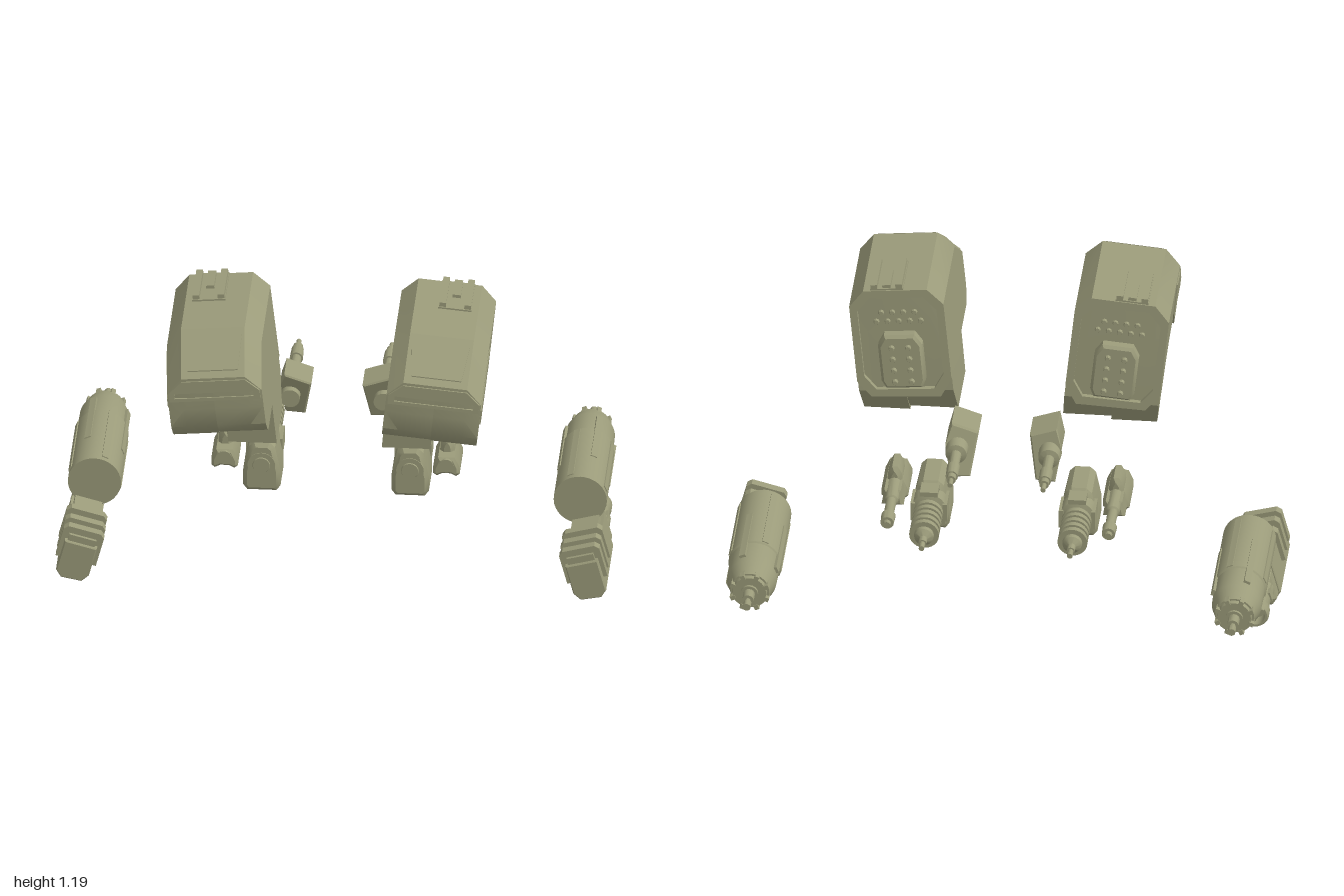
import * as THREE from 'three';
import { toCreasedNormals } from 'three/addons/utils/BufferGeometryUtils.js';

const olive = new THREE.MeshStandardMaterial({ color: 0x9b9b7a });
olive.name = 'olive';

// Outline in (x, y) extruded from z0 to z1, with chamfered ends
function prism(pts, z0, z1, bevel = 0, hole = null) {
  const shape = new THREE.Shape(pts.map(p => new THREE.Vector2(p[0], p[1])));
  if (hole) shape.holes.push(new THREE.Path(hole.map(p => new THREE.Vector2(p[0], p[1]))));
  return new THREE.ExtrudeGeometry(shape, {
    depth: z1 - z0 - 2 * bevel, bevelEnabled: bevel > 0, bevelThickness: bevel,
    bevelSize: bevel, bevelOffset: -bevel, bevelSegments: 1,
  }).translate(0, 0, z0 + bevel);
}

// Outline in (z, y) extruded along x
const sidePlate = (pts, x0, x1) => prism(pts.map(p => [-p[0], p[1]]), x0, x1).rotateY(Math.PI / 2);

// Turned part along z from [z, radius] pairs, rearmost first
const turned = (x, y, pts, n = 24) =>
  new THREE.LatheGeometry(pts.map(p => new THREE.Vector2(p[1], p[0])), n).rotateX(Math.PI / 2).translate(x, y, 0);

const box = (x0, x1, y0, y1, z0, z1) =>
  new THREE.BoxGeometry(x1 - x0, y1 - y0, z1 - z0).translate((x0 + x1) / 2, (y0 + y1) / 2, (z0 + z1) / 2);

// Closed solid through (z, y) outlines placed at successive x stations
function loft(stations) {
  const pos = [];
  const put = (s, i) => pos.push(s.x, s.pts[i][1], s.pts[i][0]);
  const n = stations[0].pts.length;
  for (let k = 0; k + 1 < stations.length; k++) {
    const a = stations[k], b = stations[k + 1];
    for (let i = 0; i < n; i++) {
      const j = (i + 1) % n;
      put(a, i); put(a, j); put(b, j);
      put(a, i); put(b, j); put(b, i);
    }
  }
  [stations[0], stations[stations.length - 1]].forEach((s, end) => {
    const flat = s.pts.map(p => new THREE.Vector2(-p[0], p[1]));
    for (const f of THREE.ShapeUtils.triangulateShape(flat, [])) (end ? f : [f[2], f[1], f[0]]).forEach(i => put(s, i));
  });
  const g = new THREE.BufferGeometry();
  g.setAttribute('position', new THREE.Float32BufferAttribute(pos, 3));
  return g;
}

function mapVertices(g, rule) {
  const p = g.attributes.position, v = new THREE.Vector3();
  for (let i = 0; i < p.count; i++) {
    rule(v.fromBufferAttribute(p, i));
    p.setXYZ(i, v.x, v.y, v.z);
  }
  return g;
}

// Lean of the housing: top outwards, outer side lower, bottom edge level
const lean = g => mapVertices(g, v => {
  const k = THREE.MathUtils.clamp((v.y - 0.66) / 0.14, 0, 1);
  const x = v.x;
  v.x += 0.105 * (v.y - 0.9);
  v.y -= 0.09 * (x - 0.385) * k;
});
// Lay a part on the sloping rear face
const onRear = g => mapVertices(g, v => { v.z += 0.052 + (v.y - 0.76) * 0.07; });

function housing(add) {
  const profile = (bottom, d) => [...bottom, [0.07, 0.76], [0.085, 1.0], [0.098, 1.17 - d], [0.48, 1.17 - d],
    [0.643 - d * 0.1, 1.055 - d], [0.643 - d * 0.1, 0.93], [0.633, 0.855], [0.61, 0.82]];
  const inner = [[0.585, 0.803], [0.407, 0.803], [0.395, 0.655], [0.14, 0.655]];
  const arch = [];
  for (let i = 0; i <= 20; i++) {
    const a = (Math.PI - 0.458) * (1 - i / 20);
    arch.push([0.393 - 0.215 * Math.cos(a), 0.705 + 0.215 * Math.sin(a)]);
  }
  arch.push([0.178, 0.64], [0.14, 0.64]);
  const station = (x, bottom, d) => ({ x, pts: profile(bottom, d) });
  add('housingInnerShell', lean(loft([station(0.215, inner, 0.06), station(0.27, inner, 0), station(0.39, inner, 0)])));
  add('housingArchShell', lean(loft([station(0.39, arch, 0), station(0.5, arch, 0), station(0.556, arch, 0.06)])));

  // Outer side panel
  add('sidePanel', lean(sidePlate([[0.63, 0.935], [0.4, 0.935], [0.385, 0.96], [0.385, 1.085], [0.49, 1.085], [0.63, 0.97]], 0.554, 0.56)));

  // Front brow and slit
  add('browPlate', lean(prism([[0.222, 0.965], [0.55, 0.965], [0.55, 1.0], [0.5, 1.045], [0.27, 1.045], [0.222, 1.0]], 0.64, 0.648, 0,
    [[0.245, 0.978], [0.53, 0.978], [0.53, 0.998], [0.245, 0.998]])));
  // Hatch on the sloping hood
  add('hoodHatch', lean(mapVertices(prism([[0.28, 0.505], [0.49, 0.505], [0.475, 0.62], [0.295, 0.62]], 0, 0.008),
    v => { const z = v.y; v.y = 1.17 - (z - 0.48) * 0.706 + 0.004 - v.z; v.z = z; })
    .scale(1, 1, 1)));

  // Roof rails
  add('roofPlate', lean(box(0.355, 0.475, 1.165, 1.176, 0.085, 0.28)));
  for (const x of [0.37, 0.46]) add('roofRail', lean(box(x - 0.012, x + 0.012, 1.17, 1.192, 0.085, 0.275)));
  add('roofRailCentre', lean(box(0.4, 0.43, 1.17, 1.188, 0.09, 0.2)));

  // Rear frame, vent and studs
  const ring = [[0.26, 0.745], [0.51, 0.745], [0.556, 0.81], [0.556, 1.11], [0.5, 1.17], [0.27, 1.17], [0.215, 1.11], [0.215, 0.81]];
  const hole = ring.map(([x, y]) => [0.385 + (x - 0.385) * 0.84, 0.96 + (y - 0.96) * 0.86]);
  add('rearFrame', lean(onRear(prism(ring, 0, 0.025, 0, hole))));
  add('rearVent', lean(onRear(prism([[0.32, 0.79], [0.45, 0.79], [0.465, 0.82], [0.465, 0.96], [0.44, 1.0], [0.33, 1.0], [0.305, 0.96], [0.305, 0.82]],
    -0.024, 0.025, 0.01))));
  const stud = (x, y, z) => add('rearStud', lean(onRear(turned(x, y, [[z, 0], [z, 0.008], [z + 0.005, 0.011], [0.02, 0.011]], 8))));
  for (let r = 0; r < 4; r++) for (const x of [0.355, 0.415]) stud(x, 0.82 + r * 0.045, -0.036);
  for (let c = 0; c < 5; c++) { stud(0.305 + c * 0.04, 1.04, 0.008); if (c < 4) stud(0.325 + c * 0.04, 1.075, 0.008); }
}

function bracketGun(add) {
  // Skewed bracket with a slim barrel behind it
  add('gunBracket', mapVertices(prism([[0.118, 0.545], [0.19, 0.545], [0.235, 0.66], [0.19, 0.733], [0.092, 0.7]].map(([x, y]) => [x, y]), -0.09, 0.04, 0.006),
    v => { v.z += (v.y - 0.733) * 0.35 + 0.12 * (0.14 - v.x); if (v.x > 0.21) v.x = 0.21; }));
  add('gunBarrel', turned(0.168, 0.642, [[-0.378, 0], [-0.378, 0.009], [-0.34, 0.009], [-0.34, 0.017], [-0.315, 0.017], [-0.315, 0.022],
    [-0.25, 0.024], [-0.25, 0.018], [-0.165, 0.02], [-0.16, 0.038], [-0.11, 0.042], [-0.1, 0.035], [0.045, 0.035], [0.045, 0]]));
}

function largePod(add) {
  const x = 0.268, y = 0.39;
  add('largePodBody', prism([[0.2, 0.3], [0.215, 0.28], [0.32, 0.28], [0.335, 0.3], [0.335, 0.36], [0.315, 0.455],
    [0.295, 0.475], [0.24, 0.475], [0.22, 0.455], [0.2, 0.36]], -0.09, 0.09, 0.015));
  add('largePodSpine', box(0.235, 0.3, 0.45, 0.468, -0.15, 0));
  for (const s of [-1, 1]) add('largePodCheek', box(x + s * 0.058 - 0.008, x + s * 0.058 + 0.008, 0.35, 0.42, -0.15, -0.05));
  add('largePodLens', turned(x, y, [[0.06, 0.05], [0.093, 0.05], [0.093, 0.032], [0.097, 0.03], [0.097, 0]]));
  // Ribbed barrel
  const pts = [[-0.41, 0], [-0.41, 0.01], [-0.375, 0.01], [-0.375, 0.015], [-0.345, 0.015], [-0.33, 0.034], [-0.315, 0.036]];
  for (let i = 0; i < 5; i++) {
    const z = -0.315 + i * 0.034;
    pts.push([z, 0.054], [z + 0.02, 0.054], [z + 0.02, 0.046], [z + 0.034, 0.046]);
  }
  pts.push([-0.14, 0.064], [-0.08, 0.064]);
  add('largePodBarrel', turned(x, y, pts));
}

function smallPod(add) {
  const x = 0.4;
  add('smallPodBody', prism([[0.352, 0.39], [0.365, 0.38], [0.385, 0.39], [0.415, 0.39], [0.435, 0.38], [0.448, 0.39], [0.448, 0.415],
    [0.43, 0.455], [0.37, 0.455], [0.352, 0.415]], -0.06, 0.11, 0.01));
  add('smallPodTop', prism([[0.372, 0.44], [0.428, 0.44], [0.425, 0.48], [0.41, 0.507], [0.39, 0.507], [0.375, 0.48]], -0.06, 0.06, 0.015));
  add('smallPodStep', prism([[0.36, 0.4], [0.44, 0.4], [0.43, 0.46], [0.37, 0.46]], -0.14, -0.05, 0.01));
  add('smallPodLens', turned(x, 0.427, [[0.09, 0.026], [0.114, 0.026], [0.114, 0]]));
  add('smallPodBarrel', turned(x, 0.442, [[-0.345, 0], [-0.345, 0.012], [-0.33, 0.014], [-0.33, 0.024], [-0.28, 0.026], [-0.275, 0.018],
    [-0.18, 0.019], [-0.175, 0.025], [-0.06, 0.027]], 16));
}

function upperCylinder(add) {
  const x = 0.876, y = 0.25;
  add('cylinderBody', turned(x, y, [[-0.545, 0], [-0.545, 0.06], [-0.53, 0.063], [-0.53, 0.07], [-0.515, 0.074], [-0.465, 0.089],
    [-0.35, 0.091], [-0.345, 0.096], [0.012, 0.096], [0.012, 0]], 32));
  add('cylinderNozzle', turned(x, y - 0.05, [[-0.648, 0], [-0.648, 0.014], [-0.615, 0.014], [-0.615, 0.01], [-0.6, 0.01],
    [-0.6, 0.021], [-0.555, 0.021], [-0.555, 0.032], [-0.53, 0.032]], 16).translate(0, 0.05, 0));
  // Long raised strips and rear ribs around the tube
  for (let i = 0; i < 8; i++) {
    const a = (i + 0.5) * Math.PI / 4, long = i % 2;
    add('cylinderStrip', box(0.08, 0.099, -0.012, 0.012, long ? -0.44 : -0.34, long ? -0.15 : -0.01).rotateZ(a).translate(x, y, 0));
    add('noseRib', box(0.055, 0.074, -0.008, 0.008, -0.548, -0.495).rotateZ(a).translate(x, y, 0));
  }
}

function lowerBlock(add) {
  const put = (name, g) => add(name, g.rotateZ(0.26).translate(0.915, 0.107, 0));
  const outline = [[-0.06, 0.05], [-0.06, -0.065], [-0.04, -0.095], [0.035, -0.1], [0.06, -0.075], [0.06, 0.05]];
  put('blockBody', prism(outline, -0.025, 0.31, 0.004));
  for (const z of [0.272, 0.208, 0.137]) put('blockRib', prism([[-0.075, -0.03], [0.075, -0.03], [0.075, 0.085], [0.06, 0.1], [-0.06, 0.1], [-0.075, 0.085]],
    z - 0.016, z + 0.016));
  put('blockCore', box(-0.05, 0.05, 0.03, 0.075, 0.0, 0.3));
  put('blockStep', prism(outline.map(([x, y]) => [x * 0.9, y * 0.85 - 0.003]), -0.09, -0.02, 0.012));
  for (const s of [-1, 1]) put('blockArm', box(s * 0.045 - 0.007, s * 0.045 + 0.007, -0.035, 0, -0.15, -0.05));
  put('blockMuzzle', turned(0, -0.02, [[-0.21, 0], [-0.21, 0.036], [-0.258, 0.038], [-0.258, 0.046], [-0.245, 0.052], [-0.215, 0.052],
    [-0.205, 0.047], [-0.12, 0.047], [-0.11, 0.054], [-0.05, 0.054]]));
}

// Mirrored copy with corner order put right
function mirrored(g) {
  const m = g.clone().scale(-1, 1, 1);
  for (const key of ['position', 'normal']) {
    const a = m.attributes[key].array;
    for (let i = 0; i < a.length; i += 9) for (let k = 0; k < 3; k++) [a[i + k], a[i + 6 + k]] = [a[i + 6 + k], a[i + k]];
  }
  return m;
}

export function createModel() {
  const model = new THREE.Group();
  const builders = { housing, bracketGun, largePod, smallPod, upperCylinder, lowerBlock };
  for (const [name, build] of Object.entries(builders)) {
    const left = new THREE.Group(), right = new THREE.Group();
    left.name = name + 'Left';
    right.name = name + 'Right';
    build((part, geometry) => {
      geometry.deleteAttribute('uv');
      const g = toCreasedNormals(geometry, 0.5);
      for (const [group, geo] of [[left, g], [right, mirrored(g)]]) {
        const mesh = new THREE.Mesh(geo, olive);
        mesh.name = part;
        group.add(mesh);
      }
    });
    model.add(left, right);
  }
  return model;
}
